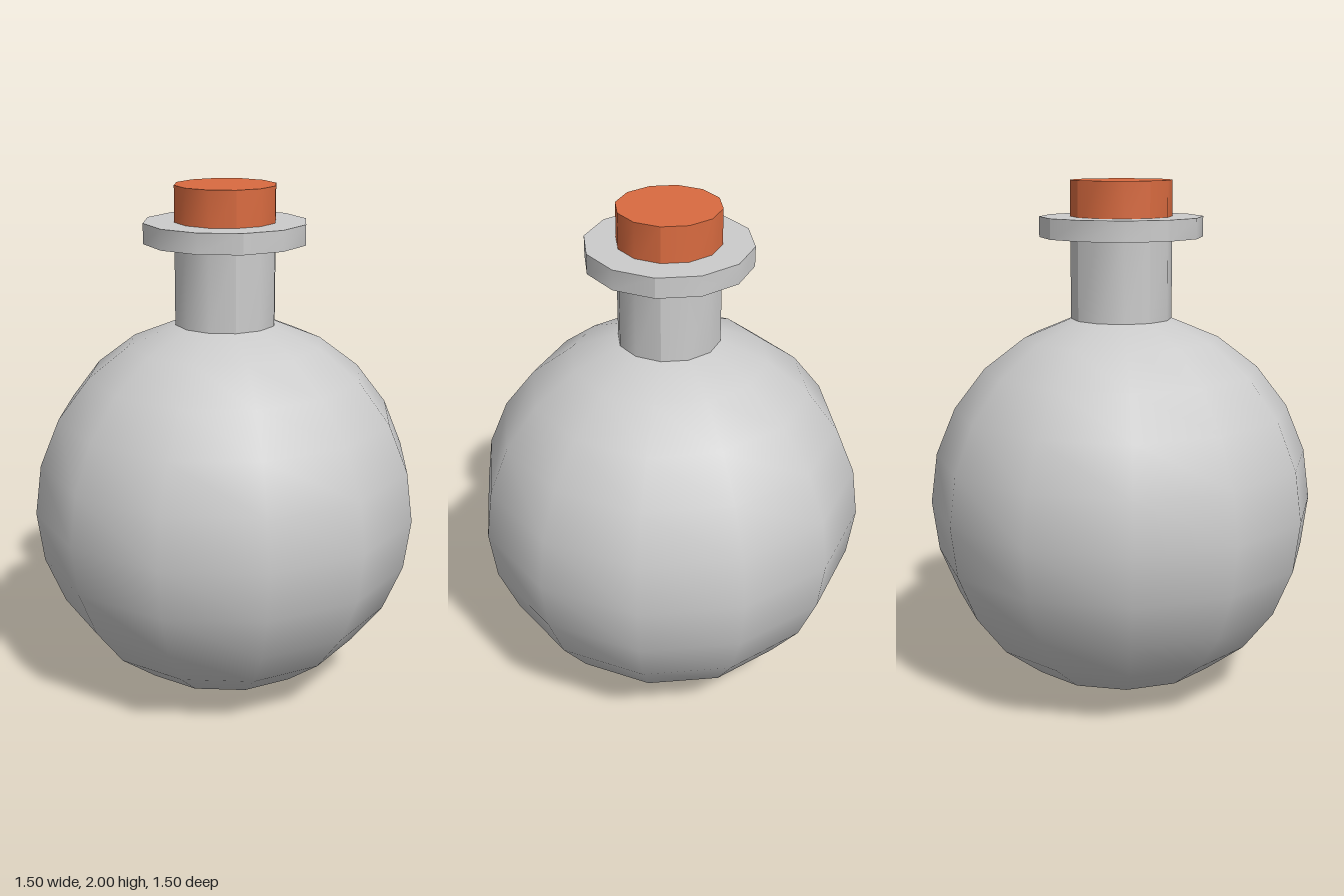
import * as THREE from 'three';
import { toCreasedNormals } from 'three/addons/utils/BufferGeometryUtils.js';

const SIDES = 12;

export function createModel() {
  const group = new THREE.Group();
  const glass = new THREE.MeshStandardMaterial({ color: 0xcccccc });
  const corkMaterial = new THREE.MeshStandardMaterial({ color: 0xd96b40 });

  function add(name, geometry, material, y) {
    const mesh = new THREE.Mesh(geometry, material);
    mesh.name = name;
    mesh.position.y = y;
    group.add(mesh);
  }

  // Upright twelve-sided drum between two heights
  function addDrum(name, radius, bottom, top, material) {
    const drum = new THREE.CylinderGeometry(radius, radius, top - bottom, SIDES);
    add(name, toCreasedNormals(drum, Math.PI / 6), material, (bottom + top) / 2);
  }

  // Round body
  add('body', new THREE.SphereGeometry(0.751, SIDES, 12), glass, 0.751);

  // Neck, lip and stopper
  addDrum('neck', 0.194, 1.45, 1.8, glass);
  addDrum('lip', 0.312, 1.787, 1.864, glass);
  addDrum('cork', 0.194, 1.82, 2, corkMaterial);

  return group;
}
